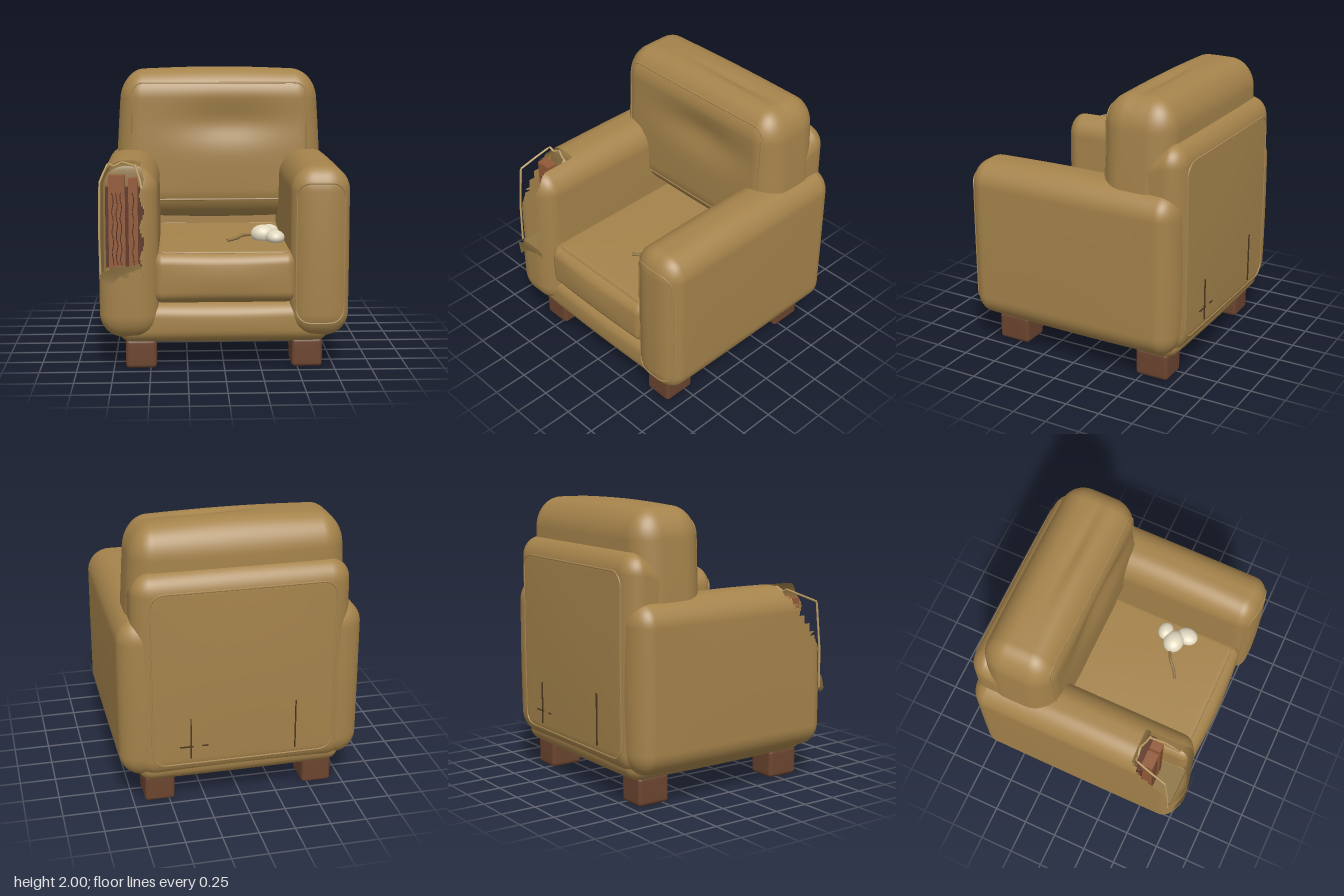
import * as THREE from 'three';
import { mergeVertices } from 'three/addons/utils/BufferGeometryUtils.js';

const V = (x, y, z) => new THREE.Vector3(x, y, z);
const paint = (name, color, side = THREE.FrontSide) => {
  const m = new THREE.MeshStandardMaterial({ color, side });
  m.name = name;
  return m;
};

// Soft block: box with elliptical edges, bulging sides and an optional extra rule
function softBlock(min, max, radii, bulge = [0, 0, 0], n = 20, rule = null) {
  const c = min.map((v, i) => (v + max[i]) / 2);
  const half = min.map((v, i) => (max[i] - v) / 2);
  let g = new THREE.BoxGeometry(2, 2, 2, n, n, n);
  const pos = g.attributes.position;
  for (let i = 0; i < pos.count; i++) {
    const t = [pos.getX(i), pos.getY(i), pos.getZ(i)];
    const inner = t.map((v, k) => Math.max(-1, Math.min(1, v * 2)) * (half[k] - radii[k]));
    const dir = V(...t.map((v) =>
      Math.sign(v) * Math.tan(Math.max(0, Math.abs(v) - 0.5) * Math.PI / 2))).normalize().toArray();
    const p = inner.map((v, k) => v + dir[k] * radii[k]);
    const u = p.map((v, k) => v / half[k]);
    const w = u.map((v) => Math.cos(v * Math.PI / 2));
    const q = V(
      c[0] + p[0] + bulge[0] * u[0] * w[1] * w[2],
      c[1] + p[1] + bulge[1] * u[1] * w[0] * w[2],
      c[2] + p[2] + bulge[2] * u[2] * w[0] * w[1]);
    if (rule) rule(q);
    pos.setXYZ(i, q.x, q.y, q.z);
  }
  g.deleteAttribute('uv');
  g.deleteAttribute('normal');
  g = mergeVertices(g, 1e-4);
  g.computeVertexNormals();
  return g;
}

// Drop the triangles whose centre lies in the torn region
function tear(g, inside) {
  const pos = g.attributes.position, keep = [], idx = g.index.array;
  for (let i = 0; i < idx.length; i += 3) {
    const m = V(0, 0, 0);
    for (let k = 0; k < 3; k++) m.add(V(0, 0, 0).fromBufferAttribute(pos, idx[i + k]));
    if (!inside(m.divideScalar(3))) keep.push(idx[i], idx[i + 1], idx[i + 2]);
  }
  g.setIndex(keep);
  return g;
}

// Points of a rounded rectangle
function roundedLoop(x0, x1, y0, y1, r) {
  const pts = [];
  [[x1 - r, y1 - r], [x0 + r, y1 - r], [x0 + r, y0 + r], [x1 - r, y0 + r]].forEach(([cx, cy], k) => {
    for (let i = 0; i <= 6; i++) {
      const a = (k + i / 6) * Math.PI / 2;
      pts.push([cx + r * Math.cos(a), cy + r * Math.sin(a)]);
    }
    const a = [pts.at(-1), [[x0 + r, y1], [x0, y0 + r], [x1 - r, y0], [x1, y1 - r]][k]];
    for (let i = 1; i < 8; i++) {
      pts.push([0, 1].map((j) => a[0][j] + (a[1][j] - a[0][j]) * i / 8));
    }
  });
  return pts;
}

export function createModel() {
  const model = new THREE.Group();
  model.name = 'armchair';
  const cloth = paint('tan upholstery', 0xa5834b);
  const tornCloth = paint('torn upholstery', 0xa5834b, THREE.DoubleSide);
  const lining = paint('lining', 0x8f7443, THREE.DoubleSide);
  const piping = paint('piping', 0xa98852);
  const thread = paint('loose thread', 0xc2a267);
  const legWood = paint('leg wood', 0x6b442f);
  const plankWood = paint('plank wood', 0x925a38);
  const darkWood = paint('dark wood', 0x5f3726);
  const cream = paint('cream', 0xe2d8bf);
  const crease = paint('dark crease', 0x4a371f);

  const add = (name, geo, mat, parent = model) => {
    const mesh = new THREE.Mesh(geo, mat);
    mesh.name = name;
    parent.add(mesh);
    return mesh;
  };
  const box = (name, min, max, mat) => {
    const g = new THREE.BoxGeometry(...min.map((v, i) => max[i] - v));
    g.translate(...min.map((v, i) => (v + max[i]) / 2));
    return add(name, g, mat);
  };
  // Lay a piping loop on a mesh by casting rays along dir
  const pipe = (name, target, loop, toOrigin, dir) => {
    const ray = new THREE.Raycaster();
    const pts = [];
    for (const [a, b] of loop) {
      ray.set(toOrigin(a, b), dir);
      const hit = ray.intersectObject(target)[0];
      if (hit) pts.push(hit.point);
    }
    const curve = new THREE.CatmullRomCurve3(pts, true);
    add(name, new THREE.TubeGeometry(curve, 160, 0.007, 6, true), piping);
  };

  // Base and seat
  add('base', softBlock([-0.72, 0.18, -0.77], [0.72, 0.46, 0.73], [0.1, 0.09, 0.1], [0, 0.03, 0.02]), cloth);
  const seat = add('seatCushion', softBlock([-0.49, 0.46, -0.6], [0.49, 0.81, 0.755],
    [0.07, 0.08, 0.09], [0, 0.012, 0.025]), cloth);
  pipe('seatPiping', seat, roundedLoop(-0.45, 0.45, -0.45, 0.705, 0.06), (x, z) => V(x, 3, z), V(0, -1, 0));

  // Back frame, top sloping down towards the front
  const frame = add('backFrame', softBlock([-0.74, 0.23, -0.81], [0.74, 1.7, -0.46],
    [0.14, 0.14, 0.12], [0.01, 0.01, 0.02], 24, (p) => {
      if (p.y > 1.3) p.y -= Math.max(0, p.z + 0.7) * 0.4 * Math.min(1, (p.y - 1.3) / 0.3);
    }), cloth);
  pipe('backPiping', frame, roundedLoop(-0.63, 0.63, 0.33, 1.58, 0.09), (x, y) => V(x, y, -3), V(0, 0, 1));
  for (const [x, y, w, h] of [[0.37, 0.53, 0.008, 0.3], [-0.36, 0.56, 0.008, 0.36],
    [0.4, 0.47, 0.09, 0.008], [0.27, 0.47, 0.04, 0.008]]) {
    box('backCrease', [x - w / 2, y - h / 2, -0.832], [x + w / 2, y + h / 2, -0.824], crease);
  }

  // Back cushion with a worn dent and a tapered top
  const back = add('backCushion', softBlock([-0.75, 0.9, -0.715], [0.75, 1.975, -0.2],
    [0.16, 0.2, 0.17], [0.01, 0.025, 0.015], 36, (p) => {
      p.x *= 1 - 0.07 * Math.max(0, p.y - 1.3);
      if (p.z > -0.45) {
        p.z -= 0.05 * Math.exp(-(((p.x - 0.08) / 0.38) ** 2) - ((p.y - 1.6) / 0.14) ** 2);
      }
      if (p.y > 1.9) p.y -= 0.02 * Math.exp(-(((p.x - 0.2) / 0.3) ** 2) - ((p.z + 0.43) / 0.04) ** 2);
    }), cloth);
  pipe('backCushionPiping', back, roundedLoop(-0.64, 0.64, 1.03, 1.89, 0.08),
    (x, y) => V(x, y, 3), V(0, 0, -1));

  // Arms: the left one whole, the right one torn open at the front
  const armGeo = (s, n) => {
    const x = [0.445 * s, 0.84 * s].sort((a, b) => a - b);
    return softBlock([x[0], 0.23, -0.79], [x[1], 1.385, 0.795], [0.16, 0.16, 0.12], [0.008, 0.018, 0.012], n);
  };
  const leftArm = add('leftArm', armGeo(1, 24), cloth);
  pipe('armPiping', leftArm, roundedLoop(0.48, 0.8, 0.33, 1.28, 0.09), (x, y) => V(x, y, 3), V(0, 0, -1));
  add('rightArm', tear(armGeo(-1, 56), (p) => {
    const edge = 0.44 + 0.28 * Math.min(1, Math.max(0, (1.36 - p.y) / 0.4));
    const inner = -0.55 + 0.015 * Math.sin(p.y * 30);
    return p.y > 0.68 + 0.02 * Math.sin(p.x * 40) && p.x < inner && p.z > (p.x < -0.8 ? edge : 0.44);
  }), tornCloth);

  // Inside of the torn arm
  add('armLining', softBlock([-0.825, 0.3, 0.2], [-0.46, 1.36, 0.45], [0.15, 0.15, 0.02]), lining);
  box('armFloor', [-0.8, 0.6, 0.44], [-0.53, 0.67, 0.75], lining);
  box('darkBoard', [-0.805, 0.66, 0.45], [-0.54, 1.22, 0.51], darkWood);
  for (const [x0, x1, top] of [[-0.78, -0.668, 1.31], [-0.645, -0.582, 1.29]]) {
    box('plank', [x0, 0.66, 0.5], [x1, top, 0.58], plankWood);
    const count = x1 - x0 > 0.1 ? 3 : 1;
    for (let i = 1; i <= count; i++) {
      const x = x0 + (x1 - x0) * i / (count + 1);
      const pts = Array.from({ length: 12 }, (_, k) => V(x + 0.006 * Math.sin(k * 2 + i), 0.7 + k * 0.045, 0.58));
      add('woodGrain', new THREE.TubeGeometry(new THREE.CatmullRomCurve3(pts), 30, 0.003, 4), darkWood);
    }
  }

  // Loose threads and a hanging flap of cloth
  const strand = (pts, r) => {
    const path = new THREE.CurvePath();
    for (let i = 1; i < pts.length; i++) path.add(new THREE.LineCurve3(V(...pts[i - 1]), V(...pts[i])));
    add('looseThread', new THREE.TubeGeometry(path, 60, r, 5), thread);
  };
  strand([[-0.83, 0.66, 0.74], [-0.835, 0.95, 0.73], [-0.83, 1.28, 0.7], [-0.81, 1.33, 0.58], [-0.785, 1.38, 0.46],
    [-0.745, 1.36, 0.46], [-0.69, 1.39, 0.45], [-0.64, 1.375, 0.47], [-0.585, 1.36, 0.48]], 0.008);
  strand([[-0.6, 1.37, 0.48], [-0.565, 1.28, 0.58], [-0.55, 1.2, 0.64], [-0.535, 1.1, 0.68]], 0.008);
  const flap = new THREE.Shape([[-0.84, 0.65], [-0.76, 0.6], [-0.7, 0.67], [-0.55, 0.73], [-0.57, 0.76],
    [-0.63, 0.74], [-0.7, 0.745], [-0.76, 0.72], [-0.82, 0.69]].map((p) => new THREE.Vector2(...p)));
  const flapGeo = new THREE.ShapeGeometry(flap);
  const fp = flapGeo.attributes.position;
  for (let i = 0; i < fp.count; i++) fp.setZ(i, 0.815 - 0.5 * Math.max(0, -0.76 - fp.getX(i)) + (fp.getY(i) > 0.7 ? 0.012 : 0));
  flapGeo.computeVertexNormals();
  add('tornFlap', flapGeo, lining);

  // Legs
  for (const x of [-0.565, 0.565]) {
    for (const z of [-0.575, 0.555]) {
      add('leg', softBlock([x - 0.105, 0, z - 0.122], [x + 0.105, 0.2, z + 0.122], [0.025, 0.025, 0.025], [0, 0, 0], 8), legWood);
    }
  }

  // Cotton tuft with its stem, left on the seat
  for (const [x, y, z, rx, ry, rz] of [[0.287, 0.855, 0.285, 0.086, 0.066, 0.076],
    [0.368, 0.845, 0.36, 0.066, 0.05, 0.08], [0.338, 0.86, 0.2, 0.066, 0.05, 0.056]]) {
    const g = new THREE.SphereGeometry(1, 24, 16);
    g.scale(rx, ry, rz);
    g.translate(x, y, z);
    add('cottonBall', g, cream);
  }
  const stem = new THREE.CatmullRomCurve3([V(0.03, 0.832, 0.41), V(0.1, 0.842, 0.365), V(0.15, 0.855, 0.32), V(0.23, 0.85, 0.28)]);
  add('stem', new THREE.TubeGeometry(stem, 16, 0.012, 6), lining);

  return model;
}
